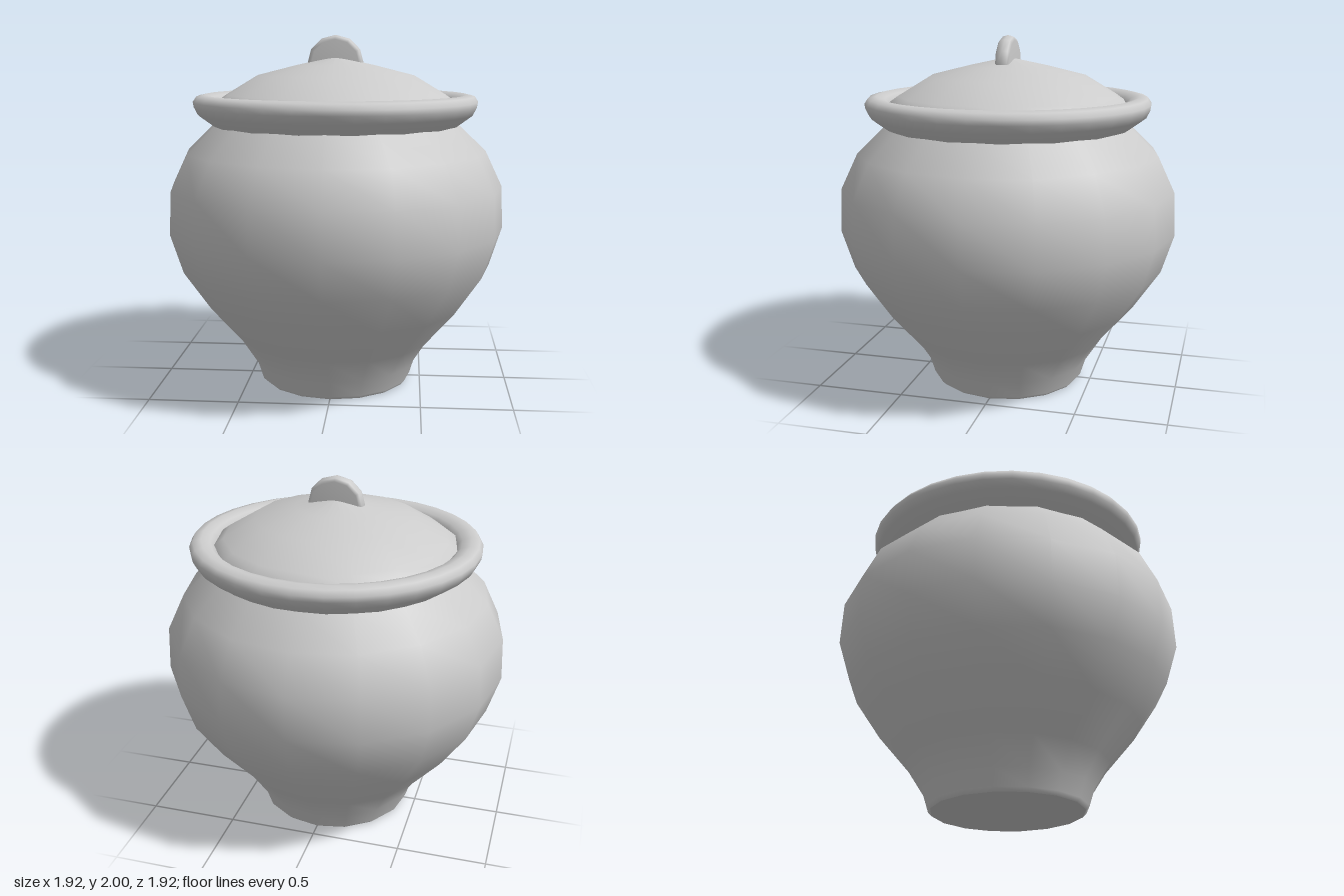
import * as THREE from 'three';

const material = new THREE.MeshStandardMaterial({ color: 0xcccccc });

function lathe(name, points, segments) {
  const profile = points.map(([r, y]) => new THREE.Vector2(r, y));
  const mesh = new THREE.Mesh(new THREE.LatheGeometry(profile, segments), material);
  mesh.name = name;
  return mesh;
}

export function createModel() {
  const pot = new THREE.Group();
  pot.name = 'lidded pot';

  // Bulging body with a narrow foot and neck
  pot.add(lathe('body', [
    [0.42, 0.005], [0.44, 0.025], [0.47, 0.12], [0.56, 0.26], [0.74, 0.47],
    [0.89, 0.69], [0.96, 0.91], [0.95, 1.15], [0.855, 1.35], [0.7, 1.5], [0.67, 1.55],
  ], 16));

  // Flat underside
  const base = new THREE.Mesh(new THREE.CircleGeometry(0.42, 16), material);
  base.name = 'base';
  base.rotation.x = Math.PI / 2;
  base.position.y = 0.005;
  pot.add(base);

  // Rounded rim, rolling inwards to the lid seat
  pot.add(lathe('rim', [
    [0.66, 1.47], [0.705, 1.505], [0.78, 1.56], [0.8, 1.6], [0.805, 1.63],
    [0.785, 1.66], [0.74, 1.67], [0.69, 1.655], [0.66, 1.625], [0.65, 1.56],
  ], 32));

  // Shallow domed lid
  pot.add(lathe('lid', [
    [0.68, 1.6], [0.67, 1.635], [0.62, 1.67], [0.445, 1.775], [0.22, 1.832], [0, 1.88],
  ], 16));

  // Bevelled upright disc, half sunk into the lid as a handle
  const handle = lathe('handle', [
    [0, -0.04], [0.135, -0.04], [0.152, -0.03], [0.16, 0],
    [0.152, 0.03], [0.135, 0.04], [0, 0.04],
  ], 12);
  handle.geometry.rotateX(Math.PI / 2);
  handle.position.y = 1.84;
  // Keep the lower half inside the lid
  handle.geometry.scale(1, 1, 1);
  pot.add(handle);

  return pot;
}
